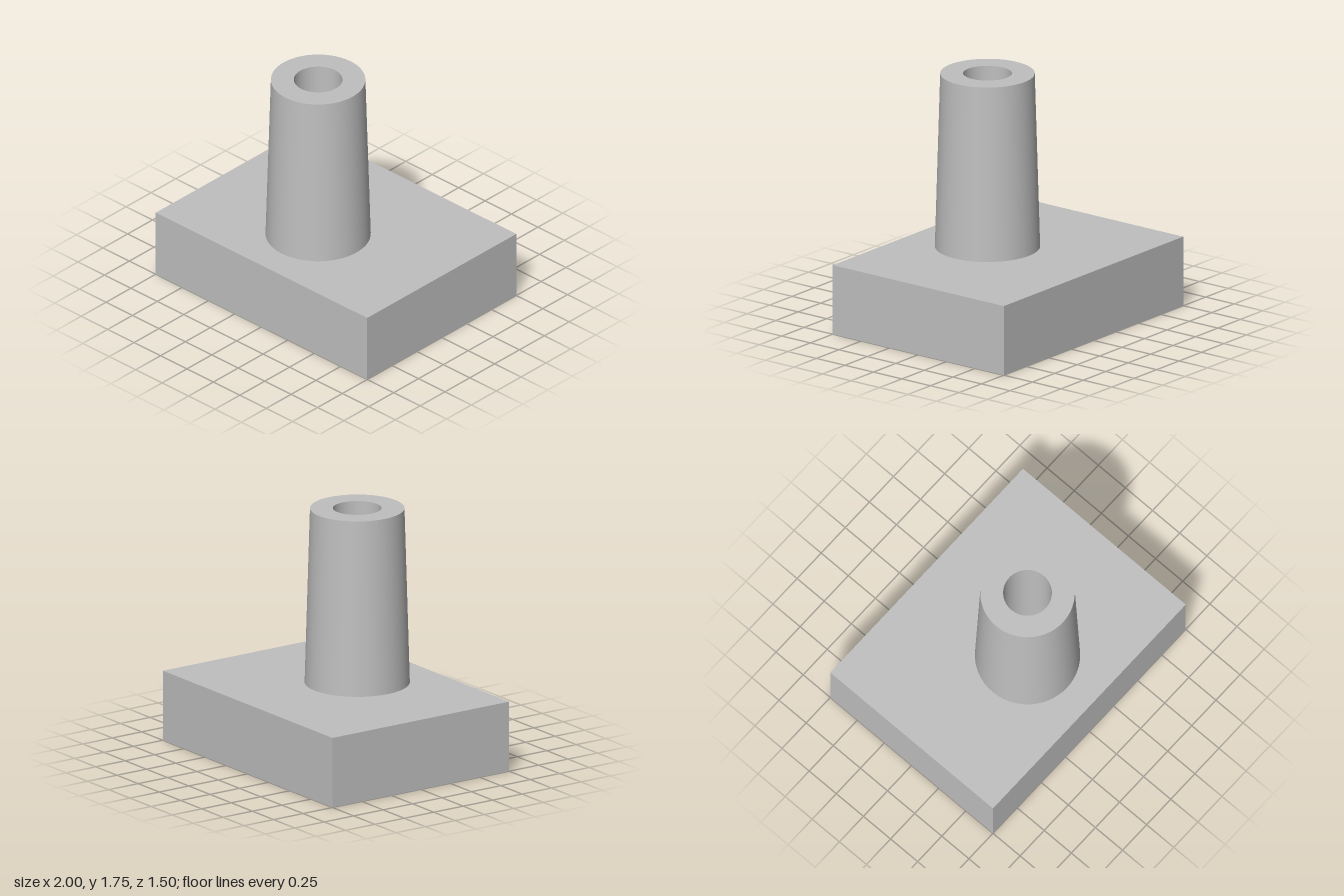
import * as THREE from 'three';
import { mergeGeometries } from 'three/addons/utils/BufferGeometryUtils.js';

const SEGMENTS = 64;
const AXIS_Z = 0.18;

// Each profile segment is its own lathe, so edges between them stay sharp.
function sharpLathe(profile) {
  const parts = [];
  for (let i = 0; i < profile.length - 1; i++) {
    const pair = [profile[i], profile[i + 1]].map(([r, y]) => new THREE.Vector2(r, y));
    parts.push(new THREE.LatheGeometry(pair, SEGMENTS));
  }
  return mergeGeometries(parts);
}

export function createModel() {
  const model = new THREE.Group();
  const grey = new THREE.MeshStandardMaterial({ color: 0xbfbfbf });
  grey.name = 'grey';

  // Rectangular base block with a round opening underneath the tube
  const outline = new THREE.Shape([
    new THREE.Vector2(-1, -0.75), new THREE.Vector2(1, -0.75),
    new THREE.Vector2(1, 0.75), new THREE.Vector2(-1, 0.75),
  ]);
  const opening = new THREE.Path();
  opening.absarc(0, -AXIS_Z, 0.25, 0, Math.PI * 2, true);
  outline.holes.push(opening);
  const baseGeometry = new THREE.ExtrudeGeometry(outline, {
    depth: 0.5, bevelEnabled: false, curveSegments: SEGMENTS,
  });
  baseGeometry.rotateX(-Math.PI / 2);
  const base = new THREE.Mesh(baseGeometry, grey);
  base.name = 'base';
  model.add(base);

  // Tapered tube wall and its flat rim
  const tube = new THREE.Mesh(sharpLathe([[0.363, 0.5], [0.326, 1.75], [0.168, 1.75]]), grey);
  tube.name = 'taperedTube';
  tube.position.z = AXIS_Z;
  model.add(tube);

  // Through bore that widens into a countersink at the bottom
  const bore = new THREE.Mesh(sharpLathe([[0.168, 1.75], [0.168, 0.17], [0.25, 0]]), grey);
  bore.name = 'countersunkBore';
  bore.position.z = AXIS_Z;
  model.add(bore);

  return model;
}
